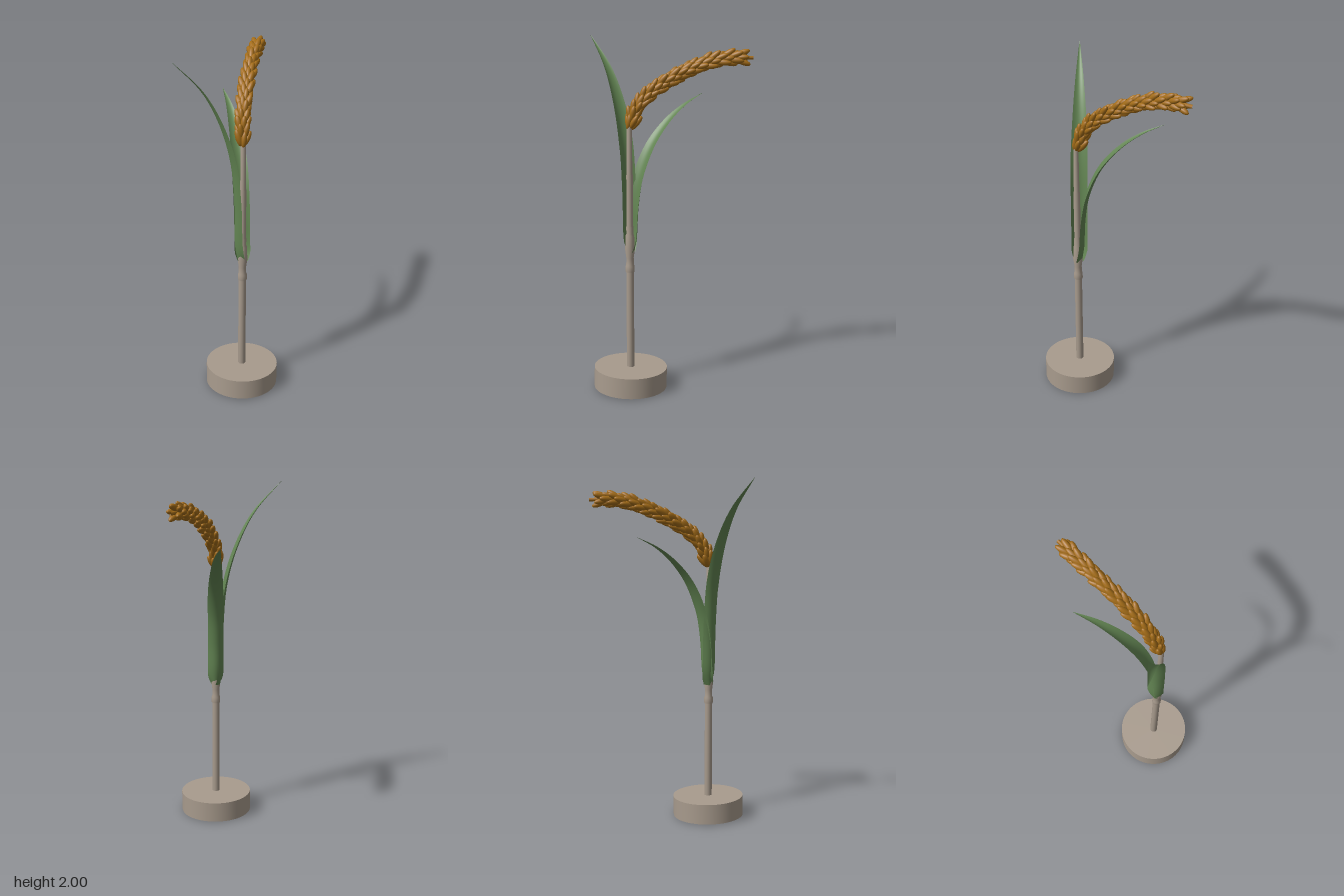
import * as THREE from 'three';

const v = (x, y, z) => new THREE.Vector3(x, y, z);
const CX = 0.01, CZ = 0.218;

// Curved blade: cross-sections swept along a spine, edges cupped toward the stem
function leafGeometry(points, side, inwardSign) {
  const curve = new THREE.CatmullRomCurve3(points);
  const rows = 40, cols = 10, pos = [], index = [];
  for (let i = 0; i <= rows; i++) {
    const t = i / rows;
    const p = curve.getPointAt(t);
    const tangent = curve.getTangentAt(t);
    const inward = tangent.clone().cross(side).multiplyScalar(inwardSign).normalize();
    const across = inward.clone().cross(tangent).normalize();
    const open = Math.min(1, t / 0.07);
    const half = t < 0.45
      ? 0.026 + 0.021 * open * (2 - open)
      : 0.047 * (1 - ((t - 0.45) / 0.55) ** 1.7) + 0.0005;
    const depth = 0.03 * (1 - t) ** 0.9 + 0.001;
    for (let j = 0; j <= cols; j++) {
      const u = (j / cols) * 2 - 1;
      const q = p.clone().addScaledVector(across, u * half).addScaledVector(inward, u * u * depth);
      pos.push(q.x, q.y, q.z);
      if (i < rows && j < cols) {
        const a = i * (cols + 1) + j, b = a + cols + 1;
        index.push(a, b, a + 1, a + 1, b, b + 1);
      }
    }
  }
  const g = new THREE.BufferGeometry();
  g.setAttribute('position', new THREE.Float32BufferAttribute(pos, 3));
  g.setIndex(index);
  g.computeVertexNormals();
  return g;
}

export function createModel() {
  const model = new THREE.Group();
  model.name = 'grainStalk';
  const stemMat = new THREE.MeshStandardMaterial({ color: 0xa89b8d });
  stemMat.name = 'beige';
  const leafMat = new THREE.MeshStandardMaterial({ color: 0x628452, side: THREE.DoubleSide });
  leafMat.name = 'leafGreen';
  const grainMat = new THREE.MeshStandardMaterial({ color: 0xa36c18 });
  grainMat.name = 'grainGold';
  const add = (name, geo, mat, parent = model) => {
    const m = new THREE.Mesh(geo, mat);
    m.name = name;
    parent.add(m);
    return m;
  };

  // Round foot, leaning very slightly
  const base = add('base', new THREE.CylinderGeometry(0.209, 0.209, 0.118, 64), stemMat);
  base.position.set(CX, 0.065, CZ);
  base.rotation.set(-0.014, 0, -0.014);

  // Stem with joints
  const profile = [
    [0, 0.1], [0.022, 0.1], [0.0215, 0.685], [0.026, 0.692], [0.026, 0.722], [0.022, 0.732],
    [0.021, 0.77], [0.028, 0.82], [0.024, 0.9], [0.02, 0.91], [0.021, 0.95], [0.0185, 0.955],
    [0.0185, 1.245], [0.016, 1.252], [0.014, 1.53], [0, 1.53],
  ].map(([r, y]) => new THREE.Vector2(r, y));
  add('stem', new THREE.LatheGeometry(profile, 24), stemMat).position.set(CX, 0, CZ);

  // Two leaves
  add('tallLeaf', leafGeometry([
    v(-0.014, 0.8, 0.212), v(-0.03, 0.9, 0.208), v(-0.034, 1.15, 0.207), v(-0.055, 1.4, 0.205),
    v(-0.115, 1.62, 0.203), v(-0.215, 1.82, 0.205), v(-0.375, 2.0, 0.21),
  ], v(0, 0, 1), 1), leafMat);
  add('shortLeaf', leafGeometry([
    v(0.012, 0.8, 0.196), v(0.012, 0.9, 0.18), v(0.014, 1.06, 0.172), v(0.018, 1.23, 0.145),
    v(0.03, 1.4, 0.075), v(0.042, 1.53, -0.03), v(0.052, 1.615, -0.14), v(0.058, 1.675, -0.262),
  ], v(1, 0, 0), -1), leafMat);

  // Arching head
  const head = new THREE.Group();
  head.name = 'grainHead';
  model.add(head);
  const arch = new THREE.CatmullRomCurve3([
    v(0.006, 1.5, 0.215), v(0.018, 1.6, 0.178), v(0.055, 1.695, 0.105), v(0.105, 1.77, 0.005),
    v(0.165, 1.83, -0.11), v(0.225, 1.868, -0.215), v(0.275, 1.882, -0.3), v(0.335, 1.882, -0.392),
  ]);
  add('headStalk', new THREE.TubeGeometry(arch, 48, 0.01, 8), grainMat, head);

  // Plump kernel with its base at the origin, pointing up
  const kernel = new THREE.SphereGeometry(1, 14, 10);
  kernel.scale(0.0175, 0.048, 0.0175);
  kernel.translate(0, 0.046, 0);

  // Spiralling whorls of kernels
  const whorls = 20, perWhorl = 5, up = v(0, 1, 0);
  for (let i = 0; i < whorls; i++) {
    const t = (i / (whorls - 1)) * 0.875;
    const p = arch.getPointAt(t), tangent = arch.getTangentAt(t);
    const sideways = tangent.clone().cross(v(0.85, 0, 0.53)).normalize();
    const normal = sideways.clone().cross(tangent).normalize();
    for (let k = 0; k < perWhorl; k++) {
      const angle = (k / perWhorl) * Math.PI * 2 + i * 0.68;
      const out = sideways.clone().multiplyScalar(Math.cos(angle)).addScaledVector(normal, Math.sin(angle));
      const wobble = Math.sin(i * 3.7 + k * 2.3);
      const lean = 0.36 + 0.09 * wobble;
      const dir = tangent.clone().multiplyScalar(Math.cos(lean)).addScaledVector(out, Math.sin(lean));
      const grain = add('kernel', kernel, grainMat, head);
      grain.position.copy(p).addScaledVector(out, 0.008).addScaledVector(tangent, 0.006 * wobble);
      grain.quaternion.setFromUnitVectors(up, dir);
      grain.scale.setScalar(0.96 + 0.06 * Math.cos(i * 1.9 + k * 4.1));
    }
  }
  return model;
}
